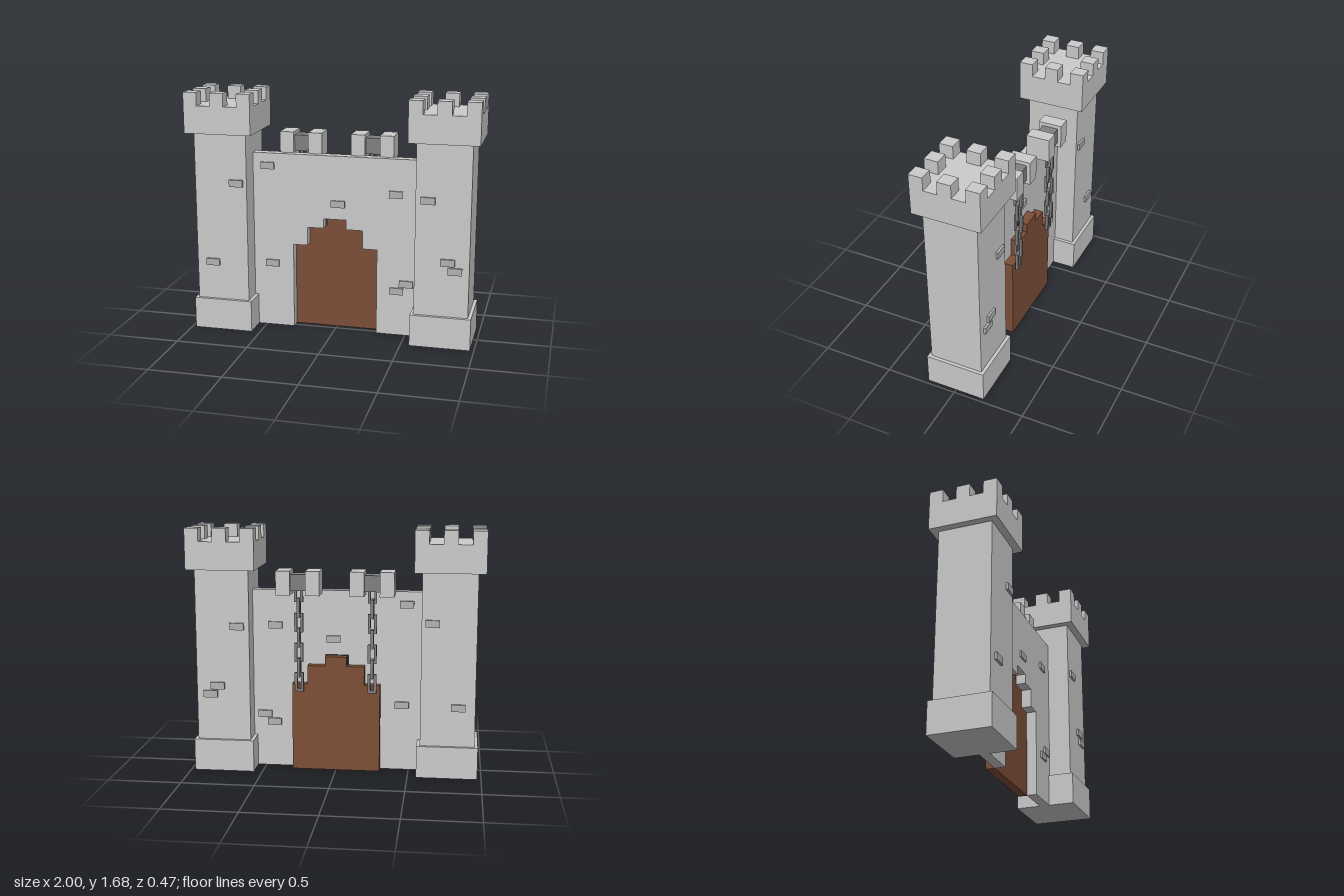
import * as THREE from 'three';

const mat = (color, extra = {}) => new THREE.MeshStandardMaterial({ color, flatShading: true, ...extra });
const stone = mat(0xcccccc);
const brickStone = mat(0xb2b2b2);
const iron = mat(0x808080);
const wood = mat(0x7d4f38);

// Box given by its min and max on each axis
function block(parent, name, material, [x0, x1], [y0, y1], [z0, z1]) {
  const mesh = new THREE.Mesh(new THREE.BoxGeometry(x1 - x0, y1 - y0, z1 - z0), material);
  mesh.position.set((x0 + x1) / 2, (y0 + y1) / 2, (z0 + z1) / 2);
  mesh.name = name;
  parent.add(mesh);
  return mesh;
}

// Flat outline extruded from z0 to z1
function slab(parent, name, material, shape, z0, z1) {
  const geo = new THREE.ExtrudeGeometry(shape, { depth: z1 - z0, bevelEnabled: false });
  const mesh = new THREE.Mesh(geo.translate(0, 0, z0), material);
  mesh.name = name;
  parent.add(mesh);
  return mesh;
}

const toShape = (pts) => new THREE.Shape(pts.map(([x, y]) => new THREE.Vector2(x, y)));
const mirrored = (half) => [...half, ...[...half].reverse().map(([x, y]) => [-x, y])];

function createTower(side) {
  const tower = new THREE.Group();
  tower.name = side > 0 ? 'leftTower' : 'rightTower';
  tower.position.x = side * 0.766;
  const centred = (name, r, y0, y1) => block(tower, name, stone, [-r, r], [y0, y1], [-r, r]);
  centred('towerBase', 0.207, 0, 0.22);
  centred('towerShaft', 0.184, 0.22, 1.4);
  centred('towerCrown', 0.234, 1.4, 1.59);
  // Eight merlons around the crown
  for (let i = -1; i <= 1; i++) {
    for (let j = -1; j <= 1; j++) {
      if (i === 0 && j === 0) continue;
      const x = i * 0.187, z = j * 0.187, h = 0.047;
      block(tower, 'towerMerlon', stone, [x - h, x + h], [1.59, 1.68], [z - h, z + h]);
    }
  }
  return tower;
}

// Rectangular chain link with an open middle
function linkShape(w, h, t) {
  const rect = (a, b) => [[-a, -b], [a, -b], [a, b], [-a, b]];
  const shape = toShape(rect(w / 2, h / 2));
  shape.holes.push(toShape(rect(w / 2 - t, h / 2 - t)));
  return shape;
}

// Winding block, drum and the chain that lifts the gate
function createWinch(side) {
  const winch = new THREE.Group();
  winch.name = side > 0 ? 'leftWinch' : 'rightWinch';
  winch.position.x = side * 0.25;
  for (const s of [-1, 1]) {
    const x = s * 0.1;
    block(winch, 'winchSupport', stone, [x - 0.048, x + 0.048], [1.23, 1.395], [-0.18, -0.015]);
  }
  block(winch, 'winchDrum', iron, [-0.055, 0.055], [1.26, 1.37], [-0.155, -0.045]);
  const chain = new THREE.Group();
  chain.name = 'chain';
  chain.position.z = -0.122;
  winch.add(chain);
  const shape = linkShape(0.06, 0.13, 0.018);
  for (let i = 0; i < 7; i++) {
    const link = slab(chain, 'chainLink', iron, shape, -0.01, 0.01);
    link.position.y = 1.245 - i * 0.103;
    link.rotation.y = (i % 2) * Math.PI / 2;
  }
  return winch;
}

export function createModel() {
  const gatehouse = new THREE.Group();
  gatehouse.name = 'gatehouse';

  // Curtain wall with a stepped gateway
  const steps = [[0.297, 0], [0.297, 0.607], [0.195, 0.607], [0.195, 0.737], [0.08, 0.737], [0.08, 0.805]];
  const wall = toShape([[-0.6, 0], ...mirrored(steps).reverse(), [0.6, 0], [0.6, 1.25], [-0.6, 1.25]]);
  slab(gatehouse, 'wall', stone, wall, -0.04, 0.03);

  // Stepped wooden gate behind the wall
  const gate = [[0.302, 0], [0.302, 0.607], [0.195, 0.607], [0.195, 0.737], [0.073, 0.737], [0.073, 0.802]];
  slab(gatehouse, 'gate', wood, toShape(mirrored(gate)), -0.103, -0.04);

  for (const side of [-1, 1]) gatehouse.add(createTower(side), createWinch(side));

  // Loose bricks showing on both faces of the wall and towers
  const bricks = [
    [-0.655, 1.06], [-0.835, 0.49], [0.665, 1.015], [0.805, 0.6], [0.855, 0.542],
    [-0.477, 1.162], [-0.45, 0.462], [0.022, 0.915], [0.425, 1.005], [0.503, 0.375], [0.437, 0.32],
  ];
  for (const [x, y] of bricks) {
    const depth = Math.abs(x) > 0.6 ? [-0.2, 0.2] : [-0.055, 0.042];
    block(gatehouse, 'brick', brickStone, [x - 0.048, x + 0.048], [y - 0.024, y + 0.024], depth);
  }
  return gatehouse;
}
